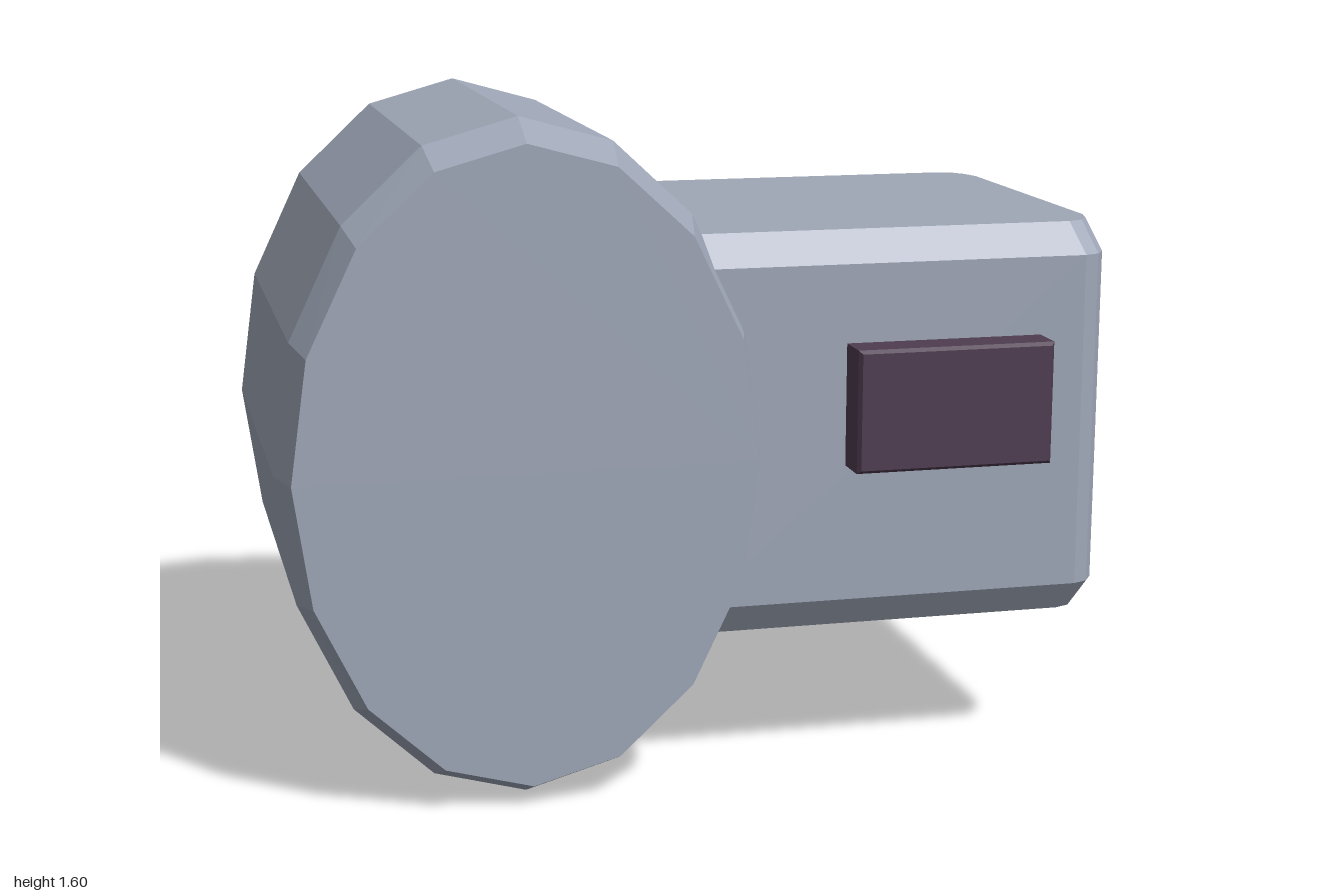
import * as THREE from 'three';

const casing = new THREE.MeshStandardMaterial({ color: 0x9fa7b7 });
casing.name = 'casingGrey';
const dark = new THREE.MeshStandardMaterial({ color: 0x4e3c50 });
dark.name = 'darkPlum';

// Faceted skin through convex loops of [x, y, z], closed at both ends
function loft(name, loops, material) {
  const pos = [];
  const tri = (...pts) => pts.forEach((p) => pos.push(...p));
  const n = loops[0].length;
  for (let k = 0; k < loops.length - 1; k++) {
    const lo = loops[k], hi = loops[k + 1];
    for (let i = 0; i < n; i++) {
      const j = (i + 1) % n;
      tri(lo[i], lo[j], hi[j]);
      tri(lo[i], hi[j], hi[i]);
    }
  }
  const first = loops[0], last = loops[loops.length - 1];
  for (let i = 1; i < n - 1; i++) {
    tri(first[0], first[i + 1], first[i]);
    tri(last[0], last[i], last[i + 1]);
  }
  const geo = new THREE.BufferGeometry();
  geo.setAttribute('position', new THREE.Float32BufferAttribute(pos, 3));
  geo.computeVertexNormals();
  const mesh = new THREE.Mesh(geo, material);
  mesh.name = name;
  return mesh;
}

// Sixteen-sided oval section of the drum
const oval = (z, rx, ry) => Array.from({ length: 16 }, (_, i) => {
  const a = (i / 16) * Math.PI * 2;
  return [-0.43 + rx * Math.cos(a), 0.802 + ry * Math.sin(a), z];
});

// Plan section of the block, with softened outer corners
function plan(y, zBack, zFront, xEnd) {
  const corner = [[0.075, 0], [0.038, 0.015], [0.014, 0.05], [0, 0.1]];
  const front = corner.map(([dx, dz]) => [xEnd - dx, y, zFront - dz]);
  const back = corner.map(([dx, dz]) => [xEnd - dx, y, zBack + dz]).reverse();
  return [[-0.03, y, zFront], ...front, ...back, [-0.03, y, zBack]];
}

// Rectangular section of the button, shrunk by an inset
const rect = (z, s) => [
  [0.335 + s, 0.765 + s, z], [0.815 - s, 0.765 + s, z],
  [0.815 - s, 1.058 - s, z], [0.335 + s, 1.058 - s, z],
];

export function createModel() {
  const model = new THREE.Group();
  model.name = 'drumWithBlock';

  // Oval drum with bevelled ends
  model.add(loft('drum', [
    oval(-0.6, 0.54, 0.743), oval(-0.51, 0.57, 0.8),
    oval(0.45, 0.57, 0.8), oval(0.56, 0.54, 0.75),
  ], casing));

  // Side block, bevelled above and below
  model.add(loft('sideBlock', [
    plan(0.36, -0.49, 0.45, 0.975), plan(0.435, -0.535, 0.5, 1),
    plan(1.245, -0.535, 0.5, 1), plan(1.32, -0.49, 0.45, 0.975),
  ], casing));

  // Raised button on the block's front
  model.add(loft('frontButton', [
    rect(0.48, 0), rect(0.588, 0), rect(0.598, 0.008),
  ], dark));

  return model;
}
